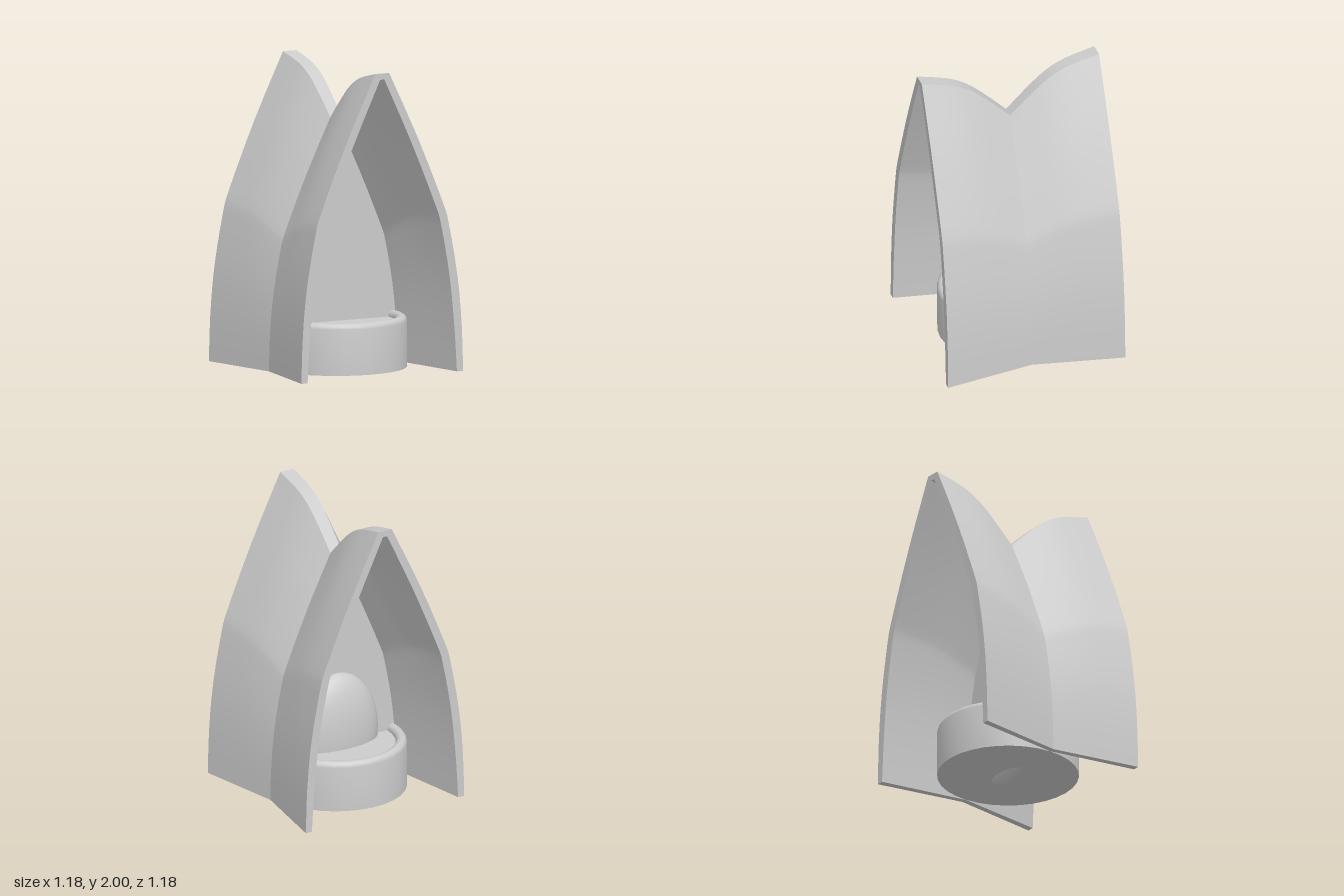
import * as THREE from 'three';
import { toCreasedNormals } from 'three/addons/utils/BufferGeometryUtils.js';

const BASE = 0.055;
const HALF = 0.59;
const WAIST = 0.83; // width at the pinch relative to the ends
const material = new THREE.MeshStandardMaterial({ color: 0xcccccc, side: THREE.DoubleSide });

const curve = (points) => new THREE.SplineCurve(points.map(([x, y]) => new THREE.Vector2(x, y)));

// Pointed arch from the right foot over the crown to the left foot
function arch(points) {
  const right = curve(points).getPoints(18);
  const left = right.map((p) => new THREE.Vector2(-p.x, p.y)).reverse();
  return [...right, ...left];
}
const outer = arch([[0.59, BASE], [0.58, 0.35], [0.55, 0.66], [0.487, 1.0], [0.44, 1.15], [0.26, 1.57], [0.05, 2]]);
const inner = arch([[0.545, BASE], [0.525, 0.36], [0.49, 0.68], [0.43, 1.0], [0.385, 1.14], [0.21, 1.55], [0.015, 1.96]]);

// Ridge height along the depth
const ridge = curve([[0, 1.65], [0.14, 1.785], [0.26, 1.885], [0.39, 1.95], [HALF, 2]]);

// Scales an arch point for a station along the depth
function place(p, z, top) {
  const sx = WAIST + (1 - WAIST) * (z / HALF);
  const sy = (top - BASE) / (2 - BASE);
  return [p.x * sx, BASE + (p.y - BASE) * sy, z];
}

// Half of the vault, from the pinched middle to the open end
function vaultGeometry() {
  const loop = [...outer, ...inner.slice().reverse()];
  const n = loop.length;
  const stations = ridge.getPoints(12);
  const pos = [];
  const index = [];
  stations.forEach((s) => loop.forEach((p) => pos.push(...place(p, s.x, s.y))));
  for (let j = 0; j < stations.length - 1; j++) {
    for (let k = 0; k < n; k++) {
      const a = j * n + k;
      const b = j * n + ((k + 1) % n);
      index.push(a, b, b + n, a, b + n, a + n);
    }
  }
  // End face between the outer and inner arch
  const o = (stations.length - 1) * n;
  for (let i = 0; i < outer.length - 1; i++) {
    const a = o + i;
    const d = o + n - 1 - i;
    index.push(a, a + 1, d, a + 1, d - 1, d);
  }
  const g = new THREE.BufferGeometry();
  g.setAttribute('position', new THREE.Float32BufferAttribute(pos, 3));
  g.setIndex(index);
  return toCreasedNormals(g, 0.5);
}

export function createModel() {
  const model = new THREE.Group();
  const add = (name, geometry) => {
    const mesh = new THREE.Mesh(geometry, material);
    mesh.name = name;
    model.add(mesh);
    return mesh;
  };

  // Two flared halves meeting at the middle
  const vault = vaultGeometry();
  add('frontVault', vault);
  add('backVault', vault).rotation.y = Math.PI;

  // Thin partition closing the waist
  const outline = outer.map((p) => new THREE.Vector2(...place(p, 0, 1.65).slice(0, 2)));
  const wall = new THREE.ExtrudeGeometry(new THREE.Shape(outline), { depth: 0.01, bevelEnabled: false });
  wall.translate(0, 0, -0.005);
  add('partitionWall', wall);

  // Round basin with a rolled rim
  const profile = [new THREE.Vector2(0, BASE), new THREE.Vector2(0.45, BASE)];
  for (let i = 0; i <= 8; i++) {
    const a = (i / 8) * Math.PI;
    profile.push(new THREE.Vector2(0.415 + 0.035 * Math.cos(a), 0.35 + 0.035 * Math.sin(a)));
  }
  profile.push(new THREE.Vector2(0.38, 0.345), new THREE.Vector2(0, 0.345));
  add('basin', toCreasedNormals(new THREE.LatheGeometry(profile, 32), 0.6));

  // Half egg on the back of the partition, flat in front
  const egg = new THREE.SphereGeometry(1, 24, 16);
  egg.scale(0.3, 0.41, 0.14);
  egg.translate(0, 0.41, 0);
  const p = egg.attributes.position;
  for (let i = 0; i < p.count; i++) p.setZ(i, Math.min(p.getZ(i), 0));
  add('backDome', toCreasedNormals(egg, 0.6));

  return model;
}
